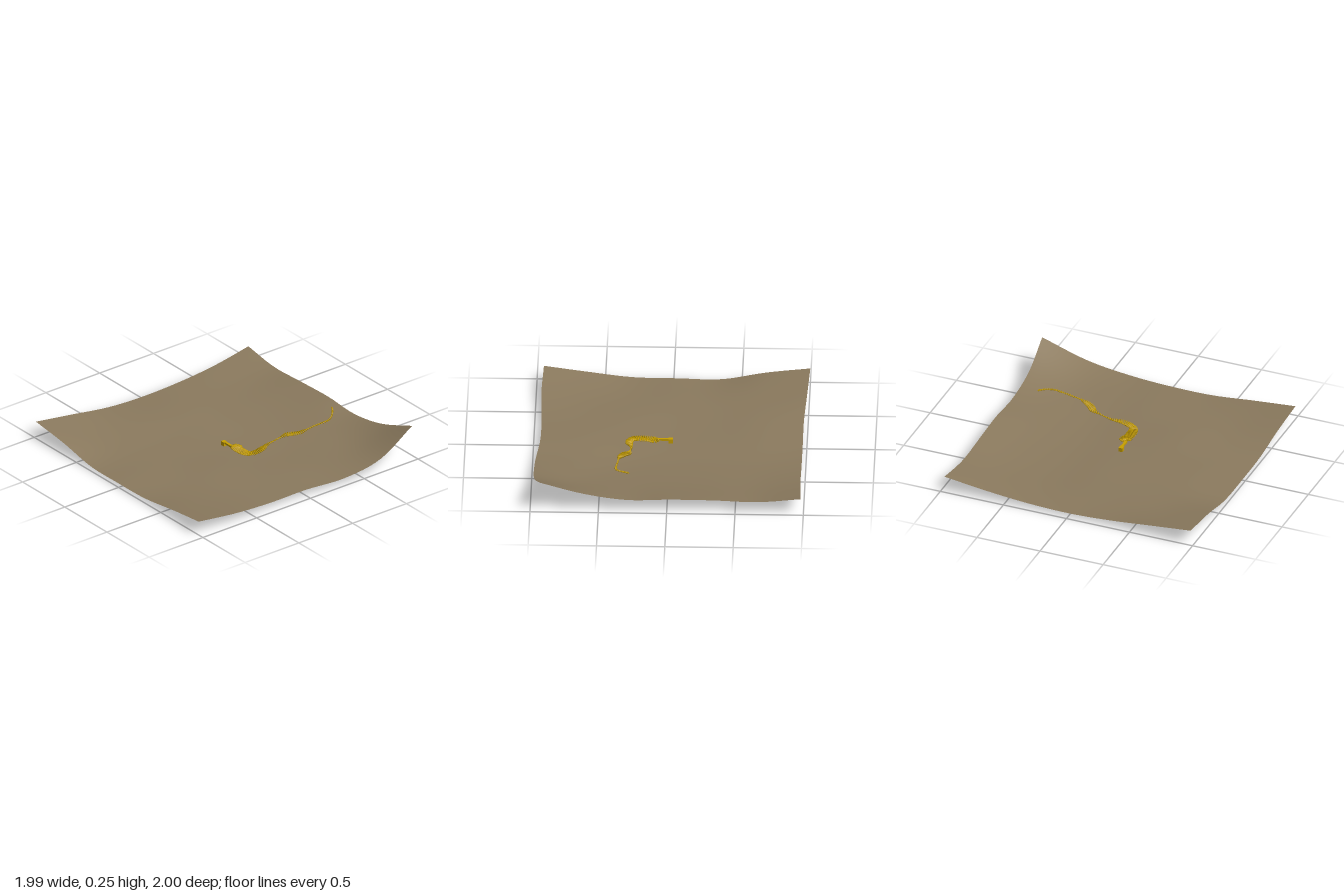
import * as THREE from 'three';

// Smooth sampling of evenly spaced values, t in 0..1
function sample(values, t) {
  const n = values.length - 1;
  const i = Math.min(n - 1, Math.floor(t * n));
  const f = t * n - i;
  const at = (k) => values[Math.max(0, Math.min(n, k))];
  const a = k0(at(i - 1), i === 0, at(i), at(i + 1));
  const d = k0(at(i + 2), i === n - 1, at(i + 1), at(i));
  const b = at(i), c = at(i + 1);
  return b + 0.5 * f * (c - a + f * (2 * a - 5 * b + 4 * c - d + f * (3 * (b - c) + d - a)));
}
// Extends the values in a straight line past either end
function k0(value, isEnd, end, inner) {
  return isEnd ? 2 * end - inner : value;
}

// Sheet heights, rows from back to front, each from -x to +x
const HEIGHTS = [
  [0.12, 0.085, 0.095, 0.10, 0.09, 0.14, 0.245],
  [0.07, 0.05, 0.05, 0.05, 0.05, 0.06, 0.10],
  [0.04, 0.035, 0.03, 0.025, 0.025, 0.04, 0.05],
  [0.03, 0.04, 0.035, 0.03, 0.035, 0.045, 0.05],
  [0.045, 0.045, 0.035, 0.035, 0.045, 0.045, 0.05],
  [0.085, 0.055, 0.035, 0.035, 0.035, 0.05, 0.075],
  [0.125, 0.085, 0.025, 0.025, 0.03, 0.07, 0.11],
];
// Slightly wavy outline
const EDGE_MINUS_X = [-0.98, -0.97, -0.97, -0.97, -0.97, -0.985, -1];
const EDGE_PLUS_X = [0.93, 0.98, 0.98, 0.95, 0.95, 0.96, 0.95];
const EDGE_BACK = [-0.975, -0.965, -0.965, -0.97, -0.965, -0.97, -1];
const EDGE_FRONT = [0.985, 0.985, 0.985, 0.99, 0.99, 0.99, 1];

function sheetGeometry() {
  const geo = new THREE.PlaneGeometry(1, 1, 36, 36);
  const pos = geo.attributes.position;
  for (let i = 0; i < pos.count; i++) {
    const u = pos.getX(i) + 0.5;
    const v = 0.5 - pos.getY(i);
    pos.setXYZ(
      i,
      THREE.MathUtils.lerp(sample(EDGE_MINUS_X, v), sample(EDGE_PLUS_X, v), u),
      sample(HEIGHTS.map((row) => sample(row, u)), v),
      THREE.MathUtils.lerp(sample(EDGE_BACK, u), sample(EDGE_FRONT, u), v),
    );
  }
  geo.computeVertexNormals();
  return geo;
}

// Cord route: x, y, z and the half width of its coils
const ROUTE = [
  [0.09, 0.06, 0.015, 0.006], [0.11, 0.06, 0.0, 0.04], [0.15, 0.06, 0.01, 0.036],
  [0.2, 0.062, 0.012, 0.036], [0.25, 0.065, 0.008, 0.032], [0.28, 0.068, -0.01, 0.025],
  [0.295, 0.075, -0.05, 0.026], [0.297, 0.085, -0.1, 0.024], [0.285, 0.092, -0.145, 0.012],
  [0.28, 0.1, -0.2, 0.004], [0.288, 0.118, -0.28, 0.004], [0.298, 0.13, -0.33, 0.022],
  [0.33, 0.137, -0.365, 0.024], [0.355, 0.143, -0.41, 0.018], [0.365, 0.155, -0.46, 0.004],
  [0.37, 0.165, -0.53, 0.003], [0.378, 0.172, -0.6, 0.004], [0.38, 0.178, -0.66, 0.004],
  [0.35, 0.19, -0.71, 0.003], [0.31, 0.2, -0.745, 0.003], [0.28, 0.205, -0.765, 0.003],
];

function cordGeometry() {
  const path = new THREE.CatmullRomCurve3(ROUTE.map(([x, y, z]) => new THREE.Vector3(x, y, z)));
  const widths = ROUTE.map((p) => p[3]);
  const steps = 900;
  const points = [];
  for (let i = 0; i <= steps; i++) {
    const t = i / steps;
    const p = path.getPoint(t);
    const dir = path.getTangent(t).setY(0).normalize();
    const width = sample(widths, t);
    const angle = t * Math.PI * 2 * 75;
    const side = Math.sin(angle) * width;
    points.push(new THREE.Vector3(
      p.x - dir.z * side,
      p.y + Math.cos(angle) * Math.min(0.007, width),
      p.z + dir.x * side,
    ));
  }
  return new THREE.TubeGeometry(new THREE.CatmullRomCurve3(points), 3000, 0.0042, 5, false);
}

export function createModel() {
  const model = new THREE.Group();
  const cloth = new THREE.MeshStandardMaterial({ color: 0x8b7a5e, side: THREE.DoubleSide });
  cloth.name = 'brown cloth';
  const gold = new THREE.MeshStandardMaterial({ color: 0xc8a000 });
  gold.name = 'gold';

  const add = (name, geometry, material, x = 0, y = 0, z = 0) => {
    const mesh = new THREE.Mesh(geometry, material);
    mesh.name = name;
    mesh.position.set(x, y, z);
    model.add(mesh);
  };

  add('sheet', sheetGeometry(), cloth);
  add('coiledCord', cordGeometry(), gold);

  // Clasp passing through the sheet
  add('claspHead', new THREE.BoxGeometry(0.034, 0.062, 0.03), gold, -0.003, 0.031, 0.018);
  add('claspFoot', new THREE.BoxGeometry(0.05, 0.03, 0.022), gold, 0.035, 0.015, 0.018);
  add('claspBar', new THREE.BoxGeometry(0.085, 0.014, 0.018), gold, 0.053, 0.055, 0.016);
  return model;
}
